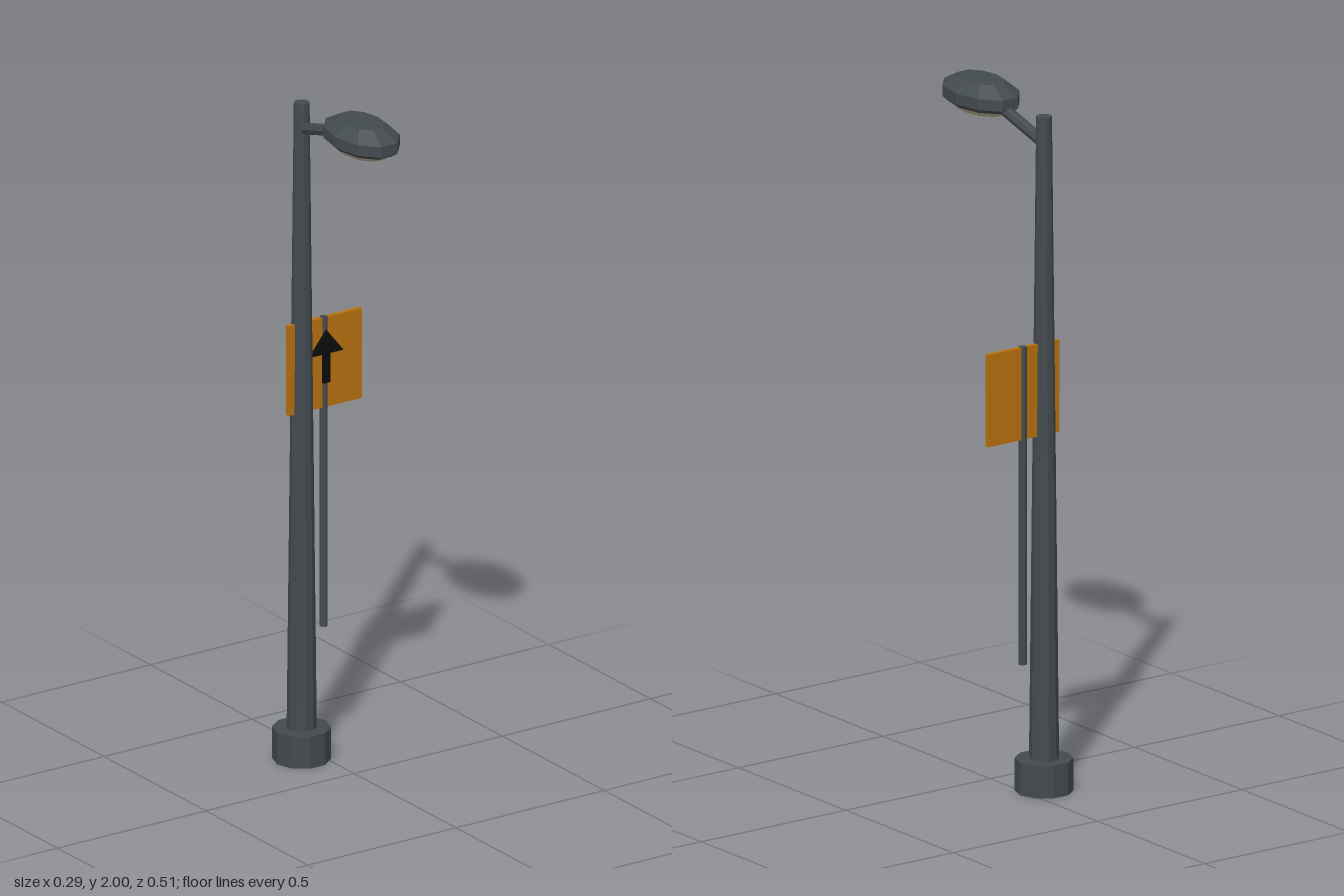
import * as THREE from 'three';

export function createModel() {
  const group = new THREE.Group();
  const mat = (name, color) => {
    const m = new THREE.MeshStandardMaterial({ color, flatShading: true });
    m.name = name;
    return m;
  };
  const metal = mat('dark grey metal', 0x434a4e);
  const orange = mat('sign orange', 0xb8720f);
  const black = mat('arrow black', 0x0c0c0c);
  const glass = mat('lamp glass', 0xb5ad8c);

  const add = (name, geometry, material, x, y, z) => {
    const mesh = new THREE.Mesh(geometry, material);
    mesh.name = name;
    mesh.position.set(x, y, z);
    group.add(mesh);
    return mesh;
  };
  // Upright cylinder with a corner on the x axis
  const column = (rTop, rBottom, y0, y1, sides) =>
    new THREE.CylinderGeometry(rTop, rBottom, y1 - y0, sides, 1, false, Math.PI / 2)
      .translate(0, (y0 + y1) / 2, 0);

  const px = -0.055, pz = -0.177;

  // Footing and tapered pole
  add('base', column(0.082, 0.082, 0, 0.095, 10), metal, px, 0, pz);
  add('pole', column(0.022, 0.042, 0.09, 1.96, 10), metal, px, 0, pz);

  // Arm rising from the pole to the lamp head
  const from = new THREE.Vector3(px, 1.882, pz);
  const to = new THREE.Vector3(px, 1.942, 0.035);
  const dir = to.clone().sub(from);
  const arm = add('arm', new THREE.CylinderGeometry(0.017, 0.017, dir.length(), 8), metal, 0, 0, 0);
  arm.position.copy(from).add(to).multiplyScalar(0.5);
  arm.quaternion.setFromUnitVectors(new THREE.Vector3(0, 1, 0), dir.normalize());

  // Ten-sided oval lamp head, with the glass below
  const oval = (profile) =>
    new THREE.LatheGeometry(profile.map(([r, y]) => new THREE.Vector2(r, y)), 10, Math.PI / 2)
      .scale(0.088, 1, 0.1425);
  add('lampHead', oval([[0, 1.925], [0.84, 1.925], [1, 1.938], [1, 1.97], [0.6, 2], [0, 2]]),
    metal, px, 0, 0.117);
  add('lampGlass', oval([[0, 1.91], [0.66, 1.91], [0.8, 1.926], [0, 1.926]]),
    glass, px, 0, 0.117);

  // Sign board on its own slim post
  const sx = 0.019;
  add('signPost', column(0.0115, 0.0115, 0.38, 1.304, 8), metal, sx, 0, pz);
  add('signBoard', new THREE.BoxGeometry(0.246, 0.268, 0.014), orange, 0.02, 1.169, pz);

  // Arrow on the front of the sign
  const arrow = new THREE.Shape([
    [-0.012, 1.11], [0.012, 1.11], [0.012, 1.197], [0.056, 1.197],
    [0, 1.267], [-0.056, 1.197], [-0.012, 1.197],
  ].map(([x, y]) => new THREE.Vector2(x, y)));
  add('arrow', new THREE.ExtrudeGeometry(arrow, { depth: 0.006, bevelEnabled: false }),
    black, sx, 0, -0.167);

  return group;
}
